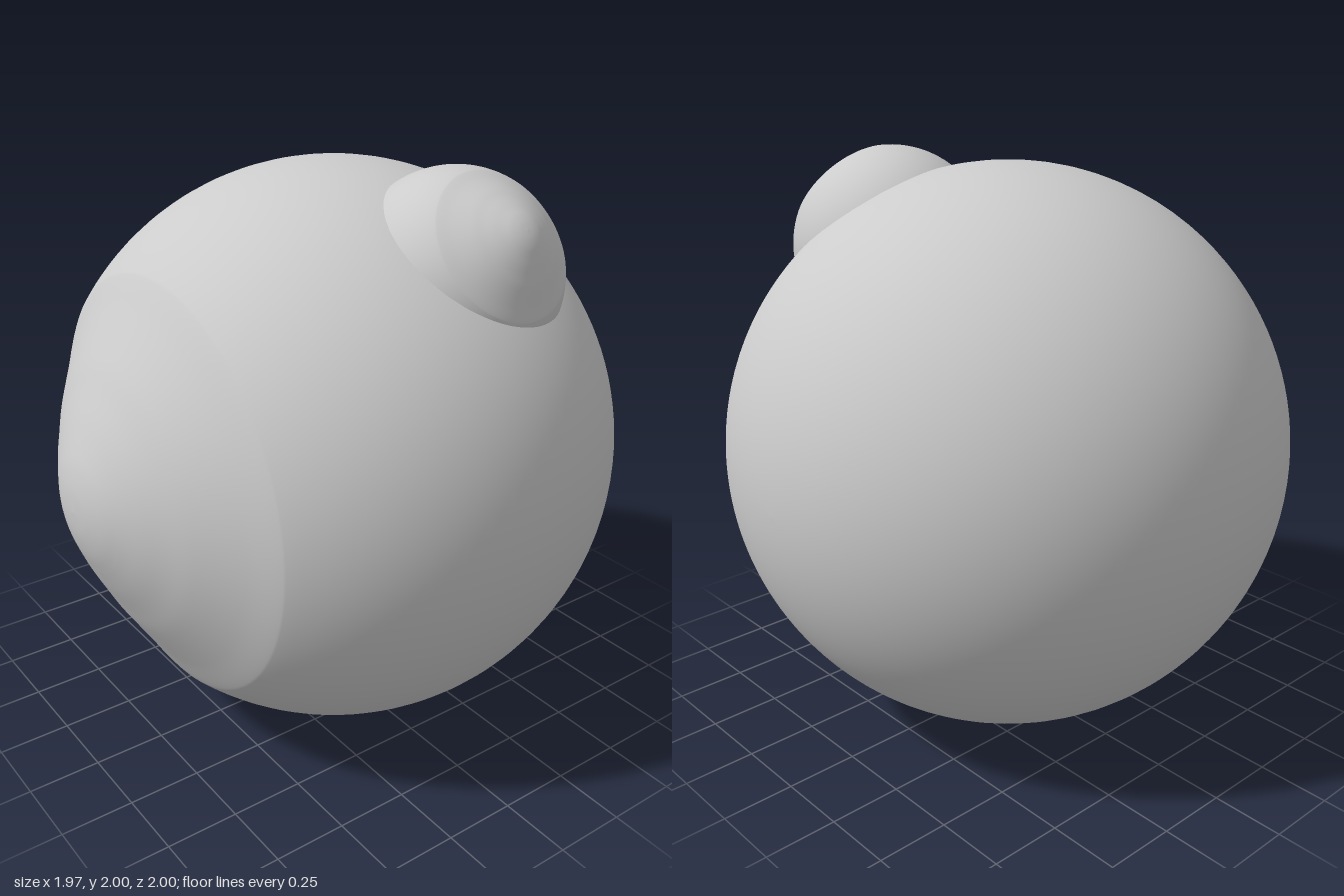
import * as THREE from 'three';

const R = 0.985;
const material = new THREE.MeshStandardMaterial({ color: 0xcccccc });

// Smooth profile through [radius, depth] points
function smooth(points, n) {
  const curve = new THREE.SplineCurve(points.map(([r, z]) => new THREE.Vector2(r, z)));
  const out = curve.getPoints(n);
  out.forEach((p) => { p.x = Math.max(p.x, 0); });
  return out;
}

// Surface of revolution whose axis points along +z
function turned(name, profile) {
  const geometry = new THREE.LatheGeometry(profile, 96);
  geometry.rotateX(Math.PI / 2);
  const mesh = new THREE.Mesh(geometry, material);
  mesh.name = name;
  return mesh;
}

// Eyeball centred on its own origin and looking along +z
function createEye(name) {
  const eye = new THREE.Group();
  eye.name = name;

  // Round ball, easing into a shallow hollow around the iris
  const ball = [];
  const end = 0.8;
  for (let i = 0; i <= 56; i++) {
    const a = Math.PI + (end - Math.PI) * (i / 56);
    ball.push(new THREE.Vector2(Math.max(0, R * Math.sin(a)), R * Math.cos(a)));
  }
  const rim = smooth([
    [R * Math.sin(end + 0.06), R * Math.cos(end + 0.06)],
    [R * Math.sin(end), R * Math.cos(end)],
    [0.6, 0.752],
    [0.505, 0.812],
  ], 30).slice(11);
  eye.add(turned('eyeball', [...ball, ...rim]));

  // Raised iris and pupil, each with a crisp edge
  eye.add(turned('iris', smooth([[0.505, 0.812], [0.44, 0.852], [0.37, 0.889], [0.29, 0.931], [0.215, 0.965]], 16)));
  eye.add(turned('pupil', smooth([[0.215, 0.965], [0.15, 0.991], [0.075, 1.009], [0, 1.015]], 14)));
  return eye;
}

export function createModel() {
  const model = new THREE.Group();
  model.name = 'eyes';

  const mainEye = createEye('mainEye');
  mainEye.position.set(0, R, -0.015);
  model.add(mainEye);

  // Small eye growing out of the upper left, looking outward and up
  const smallEye = createEye('smallEye');
  smallEye.position.set(0.43, 1.65, -0.175);
  smallEye.scale.setScalar(0.35 / R);
  smallEye.quaternion.setFromUnitVectors(
    new THREE.Vector3(0, 0, 1),
    new THREE.Vector3(0.81, 0.585, -0.05).normalize(),
  );
  model.add(smallEye);

  return model;
}
